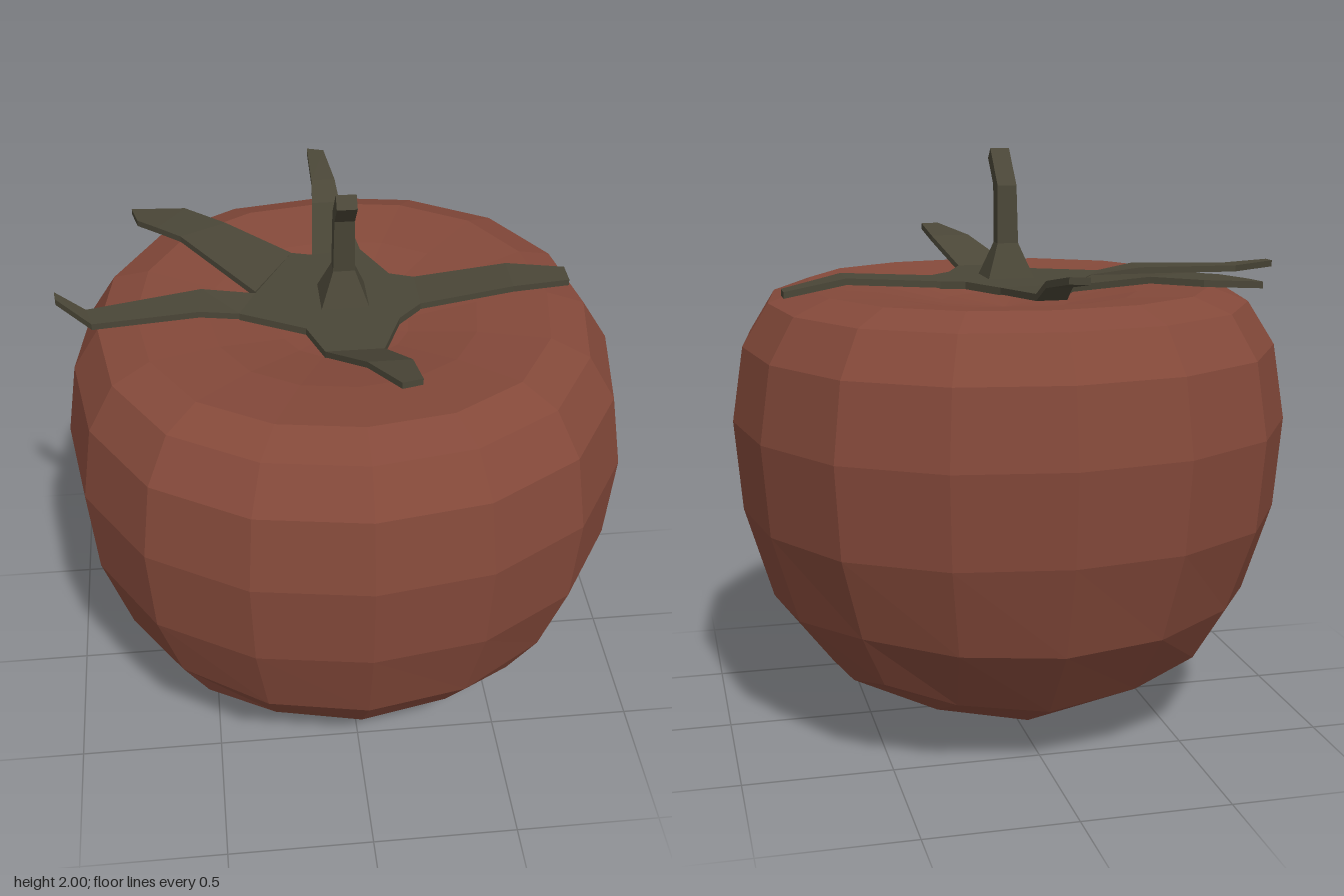
import * as THREE from 'three';

const skin = new THREE.MeshStandardMaterial({ color: 0x84493a, flatShading: true });
const leaf = new THREE.MeshStandardMaterial({ color: 0x4a4637, flatShading: true });

// Closed faceted solid; faces are turned outwards by the sign of the enclosed volume.
function solid(name, points, faces, material) {
  const v = points.map((p) => new THREE.Vector3(...p));
  const centre = v.reduce((s, p) => s.add(p), new THREE.Vector3()).divideScalar(v.length);
  const rel = v.map((p) => p.clone().sub(centre));
  const volume = faces.reduce((s, [a, b, c]) => s + rel[a].dot(rel[b].clone().cross(rel[c])), 0);
  const out = faces.flatMap(([a, b, c]) => (volume < 0 ? [a, c, b] : [a, b, c]));
  const geometry = new THREE.BufferGeometry().setFromPoints(out.map((i) => v[i]));
  geometry.computeVertexNormals();
  const mesh = new THREE.Mesh(geometry, material);
  mesh.name = name;
  return mesh;
}

const quad = (a, b, c, d) => [[a, b, c], [a, c, d]];

// Skin through equal-length rings of points, closed by a fan at both ends.
function loft(name, rings, material) {
  const n = rings[0].length;
  const points = rings.flat();
  const faces = [];
  for (let s = 0; s < rings.length - 1; s++) {
    for (let k = 0; k < n; k++) {
      const j = (k + 1) % n;
      faces.push(...quad(s * n + k, s * n + j, (s + 1) * n + j, (s + 1) * n + k));
    }
  }
  [0, rings.length - 1].forEach((s) => {
    const mid = [0, 1, 2].map((a) => rings[s].reduce((t, p) => t + p[a], 0) / n);
    const c = points.push(mid) - 1;
    for (let k = 0; k < n; k++) {
      const a = s * n + k;
      const b = s * n + ((k + 1) % n);
      faces.push(s === 0 ? [c, b, a] : [c, a, b]);
    }
  });
  return solid(name, points, faces, material);
}

// Fruit: sixteen-sided, slightly square rings over a gridded, cube-like underside.
function makeFruit() {
  // radius, height, corner lift, then relative quarter and corner positions
  const rings = [
    [0.63, 0.21, 0.105, 0.48, 0.95, 0.84],
    [0.83, 0.47, 0.037],
    [0.925, 0.79, 0],
    [0.95, 1.1, 0],
    [0.91, 1.355, 0],
    [0.82, 1.5, 0],
    [0.69, 1.548, 0],
    [0.45, 1.525, 0],
    [0.22, 1.48, 0],
  ];
  const points = [];
  const faces = [];
  rings.forEach(([r, y, lift, a = 0.4, b = 0.937, c = 0.735]) => {
    for (let k = 0; k < 16; k++) {
      let [x, z, up] = [[1, 0, 0], [b, a, 0.38], [c, c, 1], [a, b, 0.38]][k % 4];
      for (let q = 0; q < Math.floor(k / 4); q++) [x, z] = [-z, x];
      points.push([x * r, y + lift * up, z * r]);
    }
  });
  for (let s = 0; s < rings.length - 1; s++) {
    for (let k = 0; k < 16; k++) {
      const j = (k + 1) % 16;
      faces.push(...quad(s * 16 + k, s * 16 + 16 + k, s * 16 + 16 + j, s * 16 + j));
    }
  }
  // sunken crown
  const crown = points.push([0, 1.46, 0]) - 1;
  const last = (rings.length - 1) * 16;
  for (let k = 0; k < 16; k++) faces.push([last + k, crown, last + ((k + 1) % 16)]);
  // underside grid, sharing the lowest ring as its border
  const grid = {};
  for (let i = -2; i <= 2; i++) {
    for (let j = -2; j <= 2; j++) {
      if (Math.max(Math.abs(i), Math.abs(j)) === 2) {
        grid[[i, j]] = (Math.round(Math.atan2(j, i) / (Math.PI / 8)) + 16) % 16;
      } else {
        const steps = Math.abs(i) + Math.abs(j);
        const w = steps === 2 ? 0.315 : 0.34;
        grid[[i, j]] = points.push([i * w, [0, 0.06, 0.12][steps], j * w]) - 1;
      }
    }
  }
  for (let i = -2; i < 2; i++) {
    for (let j = -2; j < 2; j++) {
      faces.push(...quad(grid[[i, j]], grid[[i + 1, j]], grid[[i + 1, j + 1]], grid[[i, j + 1]]));
    }
  }
  return solid('fruit', points, faces, skin);
}

// Leaf strip: each section is [left x, left z, right x, right z, height].
function makeSepal(name, sections) {
  const t = 0.022;
  return loft(name, sections.map(([ax, az, bx, bz, y]) => [
    [ax, y, az], [bx, y, bz], [bx, y - t, bz], [ax, y - t, az],
  ]), leaf);
}

export function createModel() {
  const model = new THREE.Group();
  model.add(makeFruit());

  const calyx = new THREE.Group();
  calyx.name = 'calyx';
  const outline = [
    [0.09, -0.31], [0.17, -0.14], [0.25, -0.11], [0.25, 0.06], [0.17, 0.14], [0.1, 0.31],
    [-0.09, 0.31], [-0.14, 0.17], [-0.35, 0.06], [-0.29, -0.06], [-0.15, -0.31], [-0.08, -0.29],
  ];
  calyx.add(loft('calyxHub', [1.545, 1.57].map((y) => outline.map(([x, z]) => [x, y, z])), leaf));
  calyx.add(makeSepal('backSepal', [
    [-0.08, -0.29, 0.09, -0.31, 1.57], [-0.05, -0.62, 0.05, -0.62, 1.59],
    [-0.045, -0.7, 0.04, -0.7, 1.64], [-0.045, -0.89, 0.015, -0.87, 1.672],
  ]));
  calyx.add(makeSepal('leftSepal', [
    [0.25, -0.11, 0.25, 0.06, 1.57], [0.57, -0.13, 0.57, 0.02, 1.592],
    [0.78, -0.145, 0.78, -0.06, 1.555],
  ]));
  calyx.add(makeSepal('frontSepal', [
    [0.1, 0.31, -0.09, 0.31, 1.57], [0.16, 0.51, 0.02, 0.51, 1.66],
    [0.17, 0.66, 0.105, 0.675, 1.692],
  ]));
  calyx.add(makeSepal('rightSepal', [
    [-0.35, 0.06, -0.29, -0.06, 1.57], [-0.48, 0.07, -0.47, -0.07, 1.592],
    [-0.83, 0.09, -0.85, 0, 1.58], [-0.95, -0.035, -0.955, -0.08, 1.605],
  ]));
  calyx.add(makeSepal('backRightSepal', [
    [-0.29, -0.07, -0.15, -0.31, 1.57], [-0.53, -0.39, -0.37, -0.47, 1.612],
    [-0.61, -0.46, -0.51, -0.59, 1.612], [-0.68, -0.53, -0.7, -0.615, 1.605],
  ]));
  model.add(calyx);

  // Stem: flared square foot, upright shaft, tip bent forwards.
  // half width, back z, back height, front z, front height
  const stem = [
    [0.083, -0.1, 1.56, 0.07, 1.56],
    [0.036, -0.042, 1.685, 0.018, 1.685],
    [0.033, -0.03, 1.88, 0.037, 1.88],
    [0.033, 0.08, 2, 0.115, 1.965],
  ];
  model.add(loft('stem', stem.map(([w, bz, by, fz, fy]) => [
    [-w, by, bz], [w, by, bz], [w, fy, fz], [-w, fy, fz],
  ]), leaf));
  return model;
}
